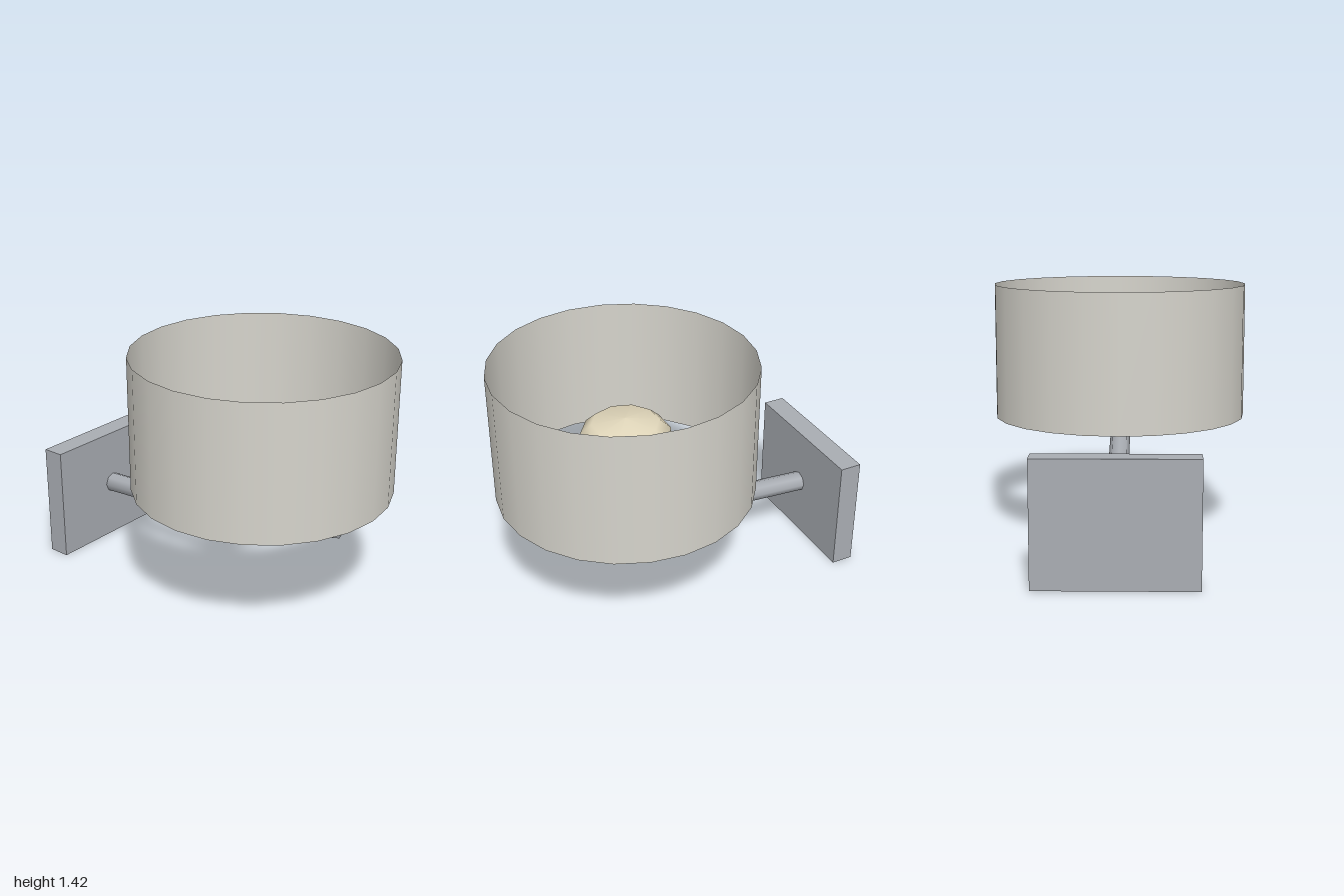
import * as THREE from 'three';
import { toCreasedNormals } from 'three/addons/utils/BufferGeometryUtils.js';

const material = (name, color, side = THREE.FrontSide) => {
  const m = new THREE.MeshStandardMaterial({ color, side });
  m.name = name;
  return m;
};

export function createModel() {
  const group = new THREE.Group();
  group.name = 'wallLamp';
  const metal = material('brushed metal', 0xa9adb3);
  const fabric = material('shade fabric', 0xd6d4cc, THREE.DoubleSide);
  const glass = material('warm bulb', 0xe0d6ba);

  const add = (name, geometry, mat, x = 0, y = 0, z = 0) => {
    const mesh = new THREE.Mesh(geometry, mat);
    mesh.name = name;
    mesh.position.set(x, y, z);
    group.add(mesh);
  };

  // Square plate against the wall
  add('wallPlate', new THREE.BoxGeometry(0.85, 0.665, 0.125), metal, 0, 0.3325, -0.9375);

  // Eight-sided bent arm: each ring has a centre and the direction of its outer side
  const rings = [
    { y: 0.67, z: 0.785, ny: 0, nz: 0.058 },
    { y: 0.557, z: 0.79, ny: -0.057, nz: 0.01 },
    { y: 0.378, z: -0.32, ny: -0.058, nz: 0.007 },
    { y: 0.337, z: -0.89, ny: -0.058, nz: 0.004 },
  ];
  const arm = new THREE.CylinderGeometry(1, 1, 3, 8, 3);
  const p = arm.attributes.position;
  for (let i = 0; i < p.count; i++) {
    const r = rings[Math.round(1.5 - p.getY(i))];
    const out = p.getZ(i);
    p.setXYZ(i, p.getX(i) * 0.059, r.y + r.ny * out, r.z + r.nz * out);
  }
  add('arm', toCreasedNormals(arm, 0.82), metal);

  // Open drum shade
  add('shade', new THREE.CylinderGeometry(0.7225, 0.7225, 0.76, 24, 1, true), fabric, 0, 1.045, 0.2775);

  // Flattened ten-sided bulb inside the shade
  const profile = [[0, -0.12], [0.185, -0.095], [0.25, -0.035], [0.25, 0.035], [0.185, 0.095], [0, 0.12]]
    .map(([r, y]) => new THREE.Vector2(r, y));
  const bulb = new THREE.LatheGeometry(profile, 10);
  bulb.rotateY(Math.PI / 2);
  add('bulb', bulb, glass, 0, 0.975, 0.2725);

  return group;
}
